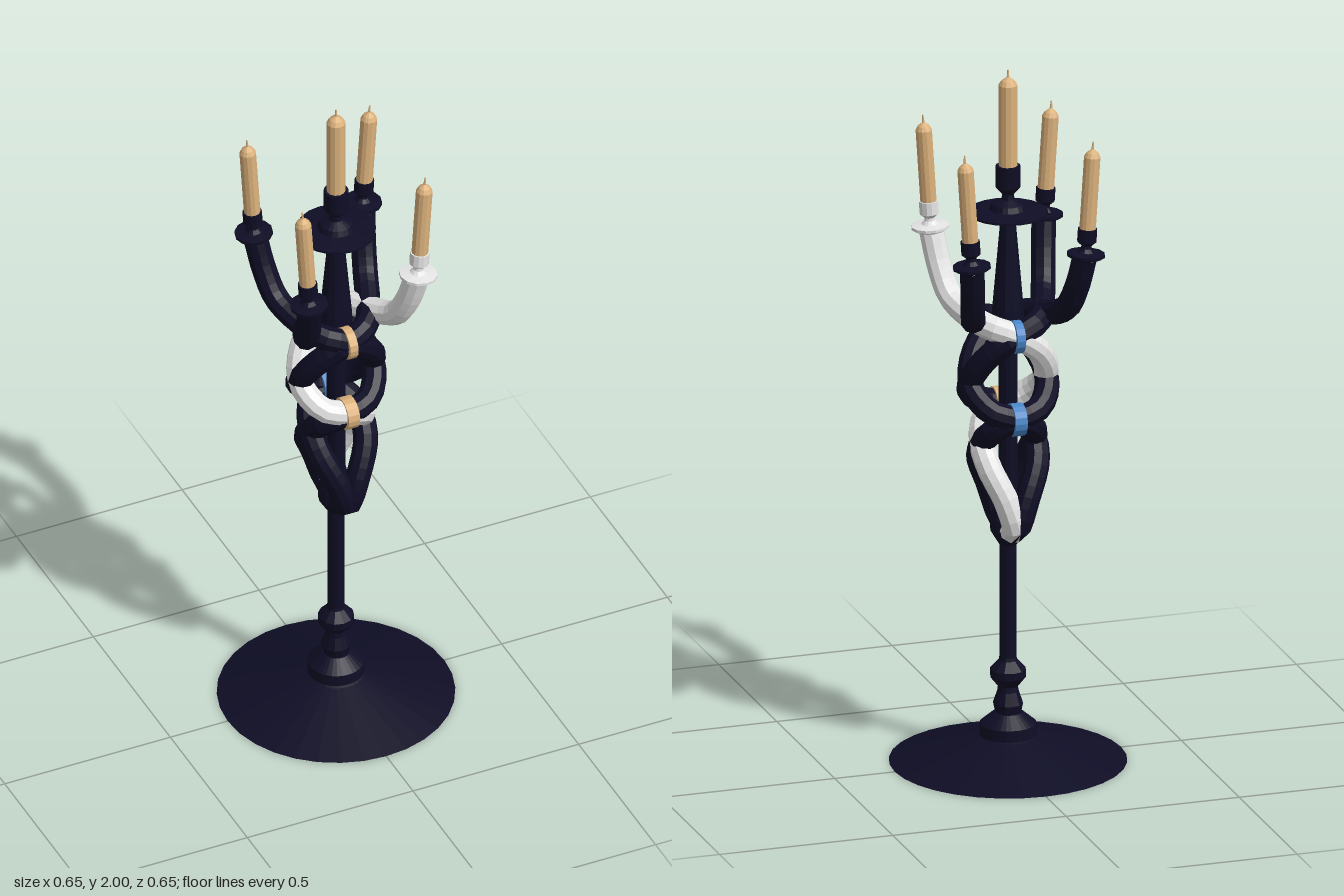
import * as THREE from 'three';

const mat = (name, color, extra = {}) => {
  const m = new THREE.MeshStandardMaterial({ color, flatShading: true, ...extra });
  m.name = name;
  return m;
};

export function createModel() {
  const model = new THREE.Group();
  model.name = 'candelabra';
  const navy = mat('navy', 0x0e0d25);
  const white = mat('white', 0xe6e6e6);
  const wax = mat('wax', 0xdcb27c);
  const blue = mat('blue', 0x4a86c8);

  const add = (parent, name, geo, material) => {
    const mesh = new THREE.Mesh(geo, material);
    mesh.name = name;
    parent.add(mesh);
    return mesh;
  };
  // Profile points are [radius, height], listed from bottom to top
  const lathe = (pts, sides) =>
    new THREE.LatheGeometry(pts.map(([r, y]) => new THREE.Vector2(r, y)), sides);

  // Wide conical foot
  add(model, 'base', lathe([
    [0, 0], [0.327, 0], [0.085, 0.072], [0.078, 0.075], [0.078, 0.108],
    [0.04, 0.14], [0, 0.14],
  ], 32), navy);

  // Turned stem, running up through the twisted arms
  add(model, 'stem', lathe([
    [0.034, 0.13], [0.042, 0.165], [0.03, 0.2], [0.028, 0.215], [0.05, 0.243],
    [0.05, 0.264], [0.026, 0.29], [0.024, 0.3], [0.024, 0.625], [0.05, 0.668],
    [0.05, 0.7], [0.034, 0.745], [0.026, 0.78], [0.026, 1.18], [0.046, 1.26],
    [0.044, 1.31], [0.02, 1.58],
  ], 12), navy);

  // Central drip pan and candle cup
  add(model, 'centralPan', lathe([
    [0, 1.56], [0.03, 1.575], [0.11, 1.584], [0.11, 1.59], [0.052, 1.597],
    [0.045, 1.612], [0.018, 1.625], [0.016, 1.64], [0.034, 1.66],
    [0.034, 1.722], [0, 1.722],
  ], 20), navy);

  // Candle with a pointed top and wick, standing on its own origin
  function makeCandle(r, h) {
    const candle = new THREE.Group();
    candle.name = 'candle';
    add(candle, 'waxBody', lathe([
      [0, 0], [r, 0], [r, h], [r * 0.72, h + 0.012], [0.004, h + 0.022], [0, h + 0.022],
    ], 12), wax);
    add(candle, 'wick', new THREE.CylinderGeometry(0.002, 0.004, 0.024, 6), wax)
      .position.y = h + 0.032;
    return candle;
  }
  const centralCandle = makeCandle(0.026, 0.235);
  centralCandle.position.y = 1.72;
  model.add(centralCandle);

  // One arm's path: it winds around the stem, then turns outward and up
  const path = [
    [0, 0.675, -0.025], [0.003, 0.69, -0.072], [0.03, 0.775, -0.076],
    [0.07, 0.87, -0.042], [0.076, 0.925, 0], [0.055, 0.975, 0.05],
    [0, 1.01, 0.078], [-0.07, 1.035, 0.066], [-0.11, 1.1, 0.005],
    [-0.075, 1.19, -0.05], [0, 1.25, -0.076], [0.065, 1.275, -0.055],
    [0.103, 1.29, 0.015], [0.134, 1.325, 0.098], [0.15, 1.4, 0.145],
    [0.163, 1.5, 0.178],
  ];

  // Four mirrored arms with pan, cup and tilted candle
  for (const sx of [1, -1]) for (const sz of [1, -1]) {
    const color = sx > 0 && sz > 0 ? white : navy;
    const arm = new THREE.Group();
    arm.name = `${sz > 0 ? 'front' : 'back'}${sx > 0 ? 'Left' : 'Right'}Arm`;
    const curve = new THREE.CatmullRomCurve3(
      path.map(([x, y, z]) => new THREE.Vector3(sx * x, y, sz * z)), false, 'centripetal');
    add(arm, 'twistedArm', new THREE.TubeGeometry(curve, 44, 0.035, 10), color);

    const holder = new THREE.Group();
    holder.name = 'candleHolder';
    holder.position.set(sx * 0.164, 1.495, sz * 0.18);
    holder.rotation.z = -sx * 0.065;
    add(holder, 'panAndCup', lathe([
      [0, -0.006], [0.034, -0.004], [0.053, 0.006], [0.053, 0.014], [0.024, 0.018],
      [0.015, 0.028], [0.014, 0.036], [0.027, 0.048], [0.027, 0.085], [0, 0.085],
    ], 12), color);
    const candle = makeCandle(0.023, 0.208);
    candle.position.y = 0.083;
    holder.add(candle);
    arm.add(holder);
    model.add(arm);
  }

  // Bands clasping the arms where they cross, at front and back
  for (const [name, z, material] of [['frontBand', 0.076, wax], ['backBand', -0.076, blue]]) {
    for (const [y, width] of [[1.01, 0.034], [1.25, 0.024]]) {
      const band = add(model, name, new THREE.CylinderGeometry(0.046, 0.046, width, 16), material);
      band.rotation.z = Math.PI / 2;
      band.position.set(0, y, z);
    }
  }
  return model;
}
